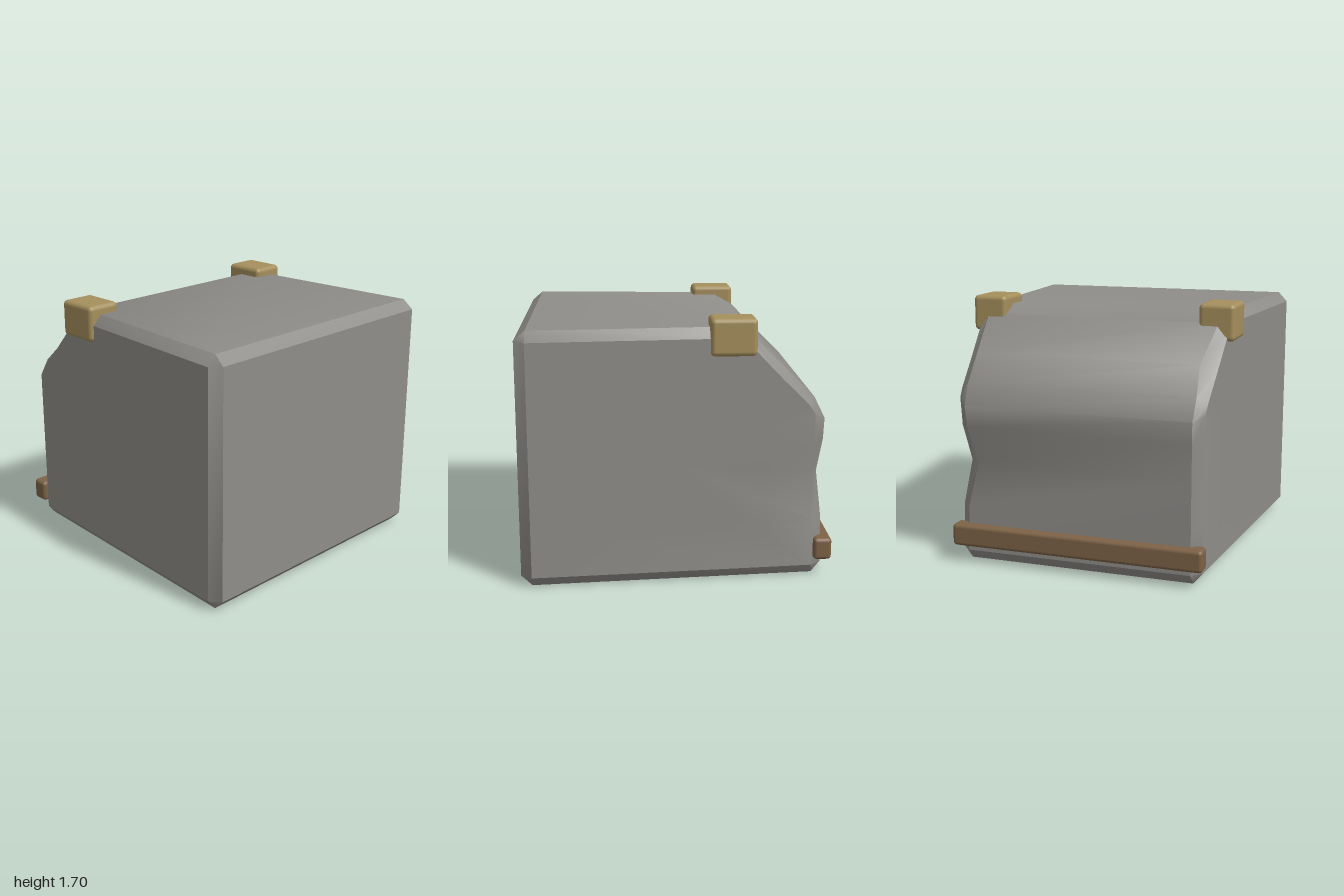
import * as THREE from 'three';
import { toCreasedNormals } from 'three/addons/utils/BufferGeometryUtils.js';
import { RoundedBoxGeometry } from 'three/addons/geometries/RoundedBoxGeometry.js';

// Side profile as [z, y]: full outline, and the same outline inset by the bevel
const OUTLINE = [[0.93, 1.64], [-0.36, 1.64], [-0.47, 1.58], [-0.7, 1.35], [-0.87, 1.18], [-0.94, 1.04], [-0.94, 0.9],
  [-0.94, 0.67], [-0.94, 0.38], [-0.94, 0.07], [-0.88, 0], [0.93, 0], [1, 0.07], [1, 1.58]];
const INSET = [[0.93, 1.575], [-0.36, 1.575], [-0.45, 1.53], [-0.65, 1.32], [-0.83, 1.14], [-0.87, 1.08], [-0.87, 0.9],
  [-0.87, 0.67], [-0.87, 0.38], [-0.87, 0.07], [-0.87, 0.07], [0.93, 0.07], [0.93, 0.07], [0.93, 1.575]];
const CENTRE = [0.05, 0.8];
const BEVEL = 0.06;

// The block narrows towards the back
const halfWidth = (z) => 0.888 + 0.077 * z;

// One closed ring of the block on the given side (-1 or 1)
function ring(profile, side, scale, inset) {
  return profile.map(([pz, py], i) => {
    let z = CENTRE[0] + (pz - CENTRE[0]) * scale;
    const y = CENTRE[1] + (py - CENTRE[1]) * scale;
    let w = halfWidth(z) - inset;
    // worn dent in the left back edge
    if (side > 0 && scale === 1 && i >= 6 && i <= 8) {
      const depth = i === 7 ? 1 : 0.15;
      w -= 0.075 * depth;
      if (inset) z += 0.03 * depth;
    }
    // small chip in the right edge of the slope
    if (side < 0 && inset && i === 3) w -= 0.04;
    return new THREE.Vector3(side * w, y, z);
  });
}

function blockGeometry() {
  const sideRings = (s) => [
    ring(INSET, s, 0, 0), ring(INSET, s, 0.65, 0), ring(INSET, s, 1, 0), ring(OUTLINE, s, 1, BEVEL),
  ];
  const rings = [...sideRings(-1), ...sideRings(1).reverse()];
  const positions = [];
  const tri = new THREE.Triangle();
  const addTriangle = (a, b, c) => {
    if (tri.set(a, b, c).getArea() < 1e-6) return;
    for (const p of [a, b, c]) positions.push(p.x, p.y, p.z);
  };
  for (let r = 0; r < rings.length - 1; r++) {
    for (let i = 0; i < OUTLINE.length; i++) {
      const j = (i + 1) % OUTLINE.length;
      const a = rings[r][i], b = rings[r + 1][i], c = rings[r + 1][j], d = rings[r][j];
      addTriangle(a, b, c);
      addTriangle(a, c, d);
    }
  }
  const geometry = new THREE.BufferGeometry();
  geometry.setAttribute('position', new THREE.Float32BufferAttribute(positions, 3));
  return toCreasedNormals(geometry, 0.7);
}

export function createModel() {
  const stone = new THREE.MeshStandardMaterial({ color: 0x8f8d89 });
  stone.name = 'grey stone';
  const brass = new THREE.MeshStandardMaterial({ color: 0xa58f5c });
  brass.name = 'dull brass';
  const wood = new THREE.MeshStandardMaterial({ color: 0x7d6246 });
  wood.name = 'brown bar';

  const model = new THREE.Group();
  model.name = 'bevelledBlock';
  const add = (name, geometry, material, x, y, z) => {
    const mesh = new THREE.Mesh(geometry, material);
    mesh.name = name;
    mesh.position.set(x, y, z);
    model.add(mesh);
  };

  // Main body
  add('block', blockGeometry(), stone, 0, 0, 0);

  // Corner caps where the top meets the slope
  const cap = new RoundedBoxGeometry(0.235, 0.235, 0.29, 2, 0.03);
  for (const [name, side] of [['leftCap', 1], ['rightCap', -1]]) {
    add(name, cap, brass, side * 0.78, 1.583, -0.343);
  }

  // Low bar across the back
  add('backBar', new RoundedBoxGeometry(1.69, 0.145, 0.118, 2, 0.025), wood, 0, 0.183, -0.941);
  return model;
}
